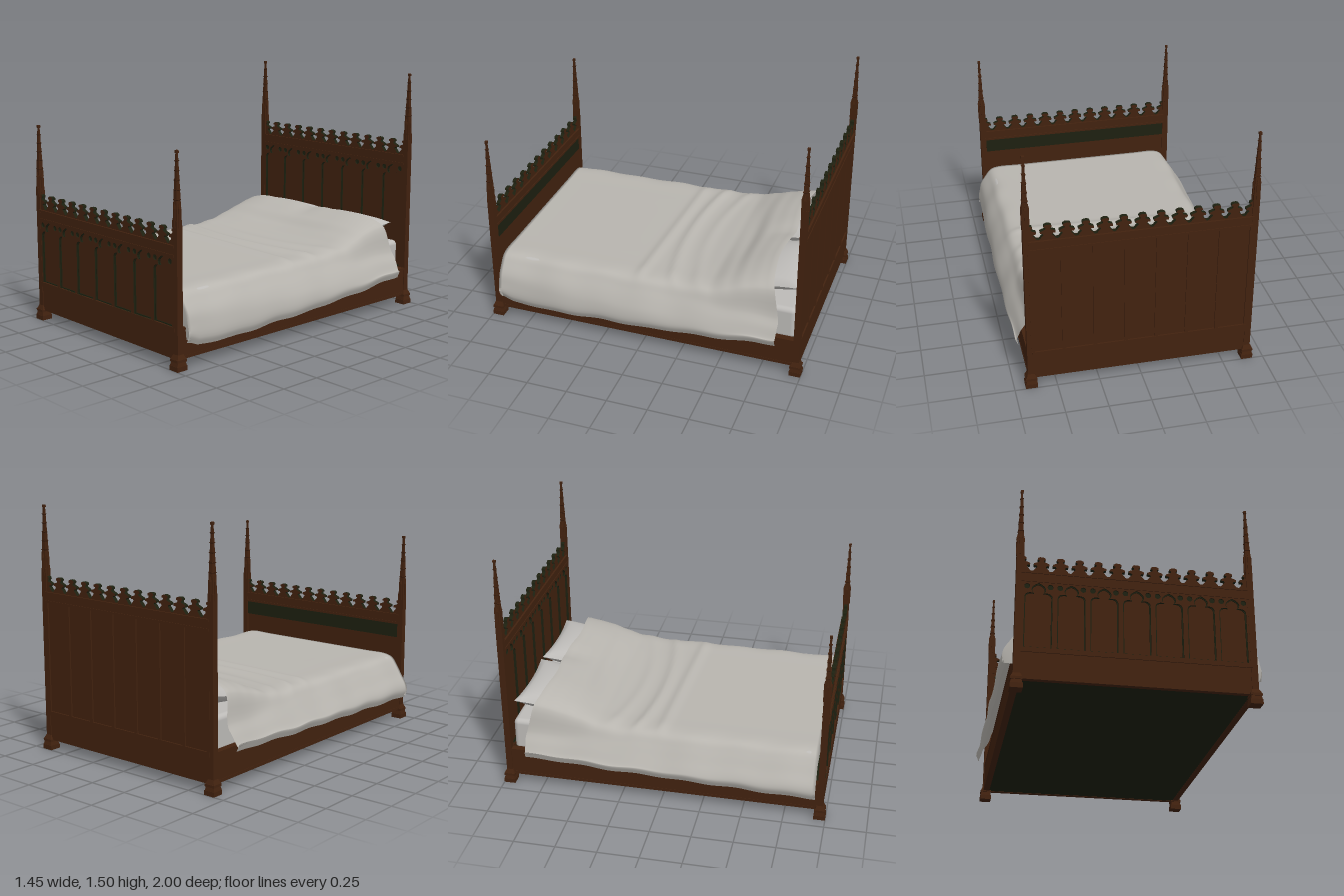
import * as THREE from 'three';
import { RoundedBoxGeometry } from 'three/addons/geometries/RoundedBoxGeometry.js';

const mat = (name, color, side = THREE.FrontSide) => {
  const m = new THREE.MeshStandardMaterial({ color, side });
  m.name = name;
  return m;
};
const wood = mat('dark oak', 0x42220f);
const shade = mat('green black stain', 0x1d2010);
const cover = mat('blanket grey', 0xb8b5af, THREE.DoubleSide);
const linen = mat('linen grey', 0xbdbbb8);

function add(parent, name, geo, material, x = 0, y = 0, z = 0) {
  const m = new THREE.Mesh(geo, material);
  m.name = name;
  m.position.set(x, y, z);
  parent.add(m);
  return m;
}
// Box given by its lower and upper y
const box = (parent, name, material, w, y0, y1, d, x = 0, z = 0) =>
  add(parent, name, new THREE.BoxGeometry(w, y1 - y0, d), material, x, (y0 + y1) / 2, z);
// Square tapered block
function taper(parent, name, w0, w1, y0, y1, x = 0, z = 0) {
  const g = new THREE.CylinderGeometry(w1 * Math.SQRT1_2, w0 * Math.SQRT1_2, y1 - y0, 4).toNonIndexed();
  g.rotateY(Math.PI / 4);
  g.computeVertexNormals();
  return add(parent, name, g, wood, x, (y0 + y1) / 2, z);
}
const extrude = (shape, depth) =>
  new THREE.ExtrudeGeometry(shape, { depth, bevelEnabled: false, curveSegments: 6 });

// Corner post with moulded foot and crocketed pinnacle
function makePost(h) {
  const g = new THREE.Group();
  const s = h - 0.4;
  box(g, 'foot', wood, 0.07, 0, 0.028, 0.07);
  taper(g, 'footNeck', 0.066, 0.056, 0.028, 0.05);
  box(g, 'footRing', wood, 0.066, 0.05, 0.065, 0.066);
  taper(g, 'footTop', 0.062, 0.04, 0.065, 0.09);
  box(g, 'shaft', wood, 0.038, 0.08, s + 0.02, 0.038);
  taper(g, 'pinnacleBase', 0.034, 0.03, s + 0.02, s + 0.12);
  for (const [dx, dz] of [[1, 0], [-1, 0], [0, 1], [0, -1]]) {
    const r = 0.017;
    box(g, 'buttress', wood, 0.012, s - 0.02, s + 0.085, 0.012, dx * r, dz * r);
    taper(g, 'buttressTip', 0.014, 0.001, s + 0.085, s + 0.115, dx * r, dz * r);
  }
  taper(g, 'spire', 0.029, 0.01, s + 0.11, h - 0.015);
  for (let i = 0; i < 5; i++) {
    const w = 0.034 - i * 0.0035, y = s + 0.125 + i * 0.053;
    taper(g, 'crocket', w * 0.65, w, y, y + 0.009);
  }
  box(g, 'finial', wood, 0.016, h - 0.015, h, 0.016);
  return g;
}

// Cusped arch opening, shrunk by e
function archPath(x, y0, y1, e) {
  const w = 0.077 - e, p = new THREE.Path();
  p.moveTo(x - w, y0 + e);
  p.lineTo(x + w, y0 + e);
  p.lineTo(x + w, y1 - 0.09);
  p.quadraticCurveTo(x + w - 0.006, y1 - 0.06, x + 0.031 - e, y1 - 0.066);
  p.bezierCurveTo(x + 0.05 - e, y1 - 0.045, x + 0.038 - e, y1 - 0.022, x, y1 - 0.005 - e);
  p.bezierCurveTo(x - 0.038 + e, y1 - 0.022, x - 0.05 + e, y1 - 0.045, x - 0.031 + e, y1 - 0.066);
  p.quadraticCurveTo(x - w + 0.006, y1 - 0.06, x - w, y1 - 0.09);
  p.closePath();
  return p;
}

// One bay of tracery; eyes are pierced in the spandrels
function bayShape(x, y0, y1, e, eyes) {
  const w = 0.0905, s = new THREE.Shape();
  s.moveTo(x - w, y0).lineTo(x + w, y0).lineTo(x + w, y1).lineTo(x - w, y1).closePath();
  s.holes.push(archPath(x, y0, y1, e));
  if (eyes) for (const d of [-1, 1]) {
    const eye = new THREE.Path();
    eye.absarc(x + d * 0.064, y1 - 0.027, 0.016, 0, Math.PI * 2, true);
    s.holes.push(eye);
  }
  return s;
}

// Half outline of one cresting flower
const FLOWER = [[0.053, 0], [0.053, 0.006], [0.044, 0.01], [0.033, 0.024], [0.023, 0.034], [0.029, 0.043],
  [0.042, 0.043], [0.043, 0.055], [0.029, 0.061], [0.015, 0.066], [0.012, 0.076], [0.022, 0.079],
  [0.021, 0.09], [0.009, 0.096]];

function makeCresting(y) {
  const g = new THREE.Group();
  g.name = 'cresting';
  const pts = d => FLOWER.map(([a, b]) => new THREE.Vector2(a * d, b));
  for (let i = -6; i <= 6; i++) {
    const outline = i === -6 ? [new THREE.Vector2(0, 0), ...pts(1), new THREE.Vector2(0, 0.096)]
      : i === 6 ? [new THREE.Vector2(0, 0), ...pts(-1), new THREE.Vector2(0, 0.096)]
        : [...pts(1), ...pts(-1).reverse()];
    add(g, 'crestFlower', extrude(new THREE.Shape(outline), 0.024), [wood, shade], i * 0.106, y, -0.012);
  }
  return g;
}

// End board: traceried front, top = underside of the top rail
function makeBoard(top, postHeight, ribbedBack) {
  const g = new THREE.Group();
  box(g, 'lowerPanel', wood, 1.28, 0.06, 0.22, 0.03);
  box(g, 'lowerRail', wood, 1.28, 0.215, 0.243, 0.042);
  box(g, 'panel', wood, 1.28, 0.24, top, 0.016, 0, -0.004);
  box(g, 'topRail', wood, 1.28, top + 0.008, top + 0.06, 0.036);
  box(g, 'topRailLowerMoulding', wood, 1.28, top, top + 0.014, 0.044);
  box(g, 'topRailUpperMoulding', wood, 1.28, top + 0.052, top + 0.066, 0.046);
  for (let i = -3; i <= 3; i++) {
    const x = i * 0.181;
    add(g, 'traceryRecess', extrude(bayShape(x, 0.243, top, 0.006, false), 0.006), shade, 0, 0, 0.004);
    add(g, 'tracery', extrude(bayShape(x, 0.243, top, 0, true), 0.008), [wood, shade], 0, 0, 0.01);
  }
  if (ribbedBack) {
    for (let i = -3; i <= 4; i++) box(g, 'backRib', wood, 0.022, 0.24, top, 0.012, (i - 0.5) * 0.181, -0.014);
  } else {
    box(g, 'backStain', shade, 1.26, top - 0.09, top, 0.004, 0, -0.013);
  }
  g.add(makeCresting(top + 0.064));
  for (const d of [-1, 1]) {
    const p = makePost(postHeight);
    p.name = d > 0 ? 'leftPost' : 'rightPost';
    p.position.x = d * 0.65;
    g.add(p);
  }
  return g;
}

// Piecewise linear lookup
function lookup(table, t) {
  for (let i = 1; i < table.length; i++) {
    const [a, p] = table[i - 1], [b, q] = table[i];
    if (t <= b) return p + (q - p) * THREE.MathUtils.smoothstep(t, a, b) * 0.4 + (q - p) * 0.6 * Math.max(0, (t - a) / (b - a));
  }
  return table[table.length - 1][1];
}

// Blanket: cross-sections swept from foot to head, with folds
function makeBlanket() {
  const rows = 90, cols = 72, pos = [], idx = [];
  const rise = [[-0.85, 0.14], [-0.76, 0.16], [-0.7, 0.145], [-0.6, 0.115], [-0.5, 0.075], [-0.4, 0.03], [-0.25, 0.012], [0.05, 0.008], [0.95, 0]];
  const hems = {
    1: [[-0.85, 0.215], [-0.7, 0.2], [-0.3, 0.165], [0, 0.145], [0.6, 0.12], [0.85, 0.125], [0.93, 0.155]],
    [-1]: [[-0.85, 0.225], [0, 0.19], [0.6, 0.17], [0.93, 0.16]],
  };
  const bump = (d, w) => Math.exp(-(d * d) / (w * w));
  for (let i = 0; i <= rows; i++) {
    const v = Math.max(0, (i - 1) / (rows - 1));
    const z = 0.935 - v * 1.705;
    for (const d of [-1, 1]) {
      const hem = lookup(hems[d], z);
      const t = 0.428 + lookup(rise, z), side = t - 0.3 * (t - 0.428);
      const out = d > 0 ? 0.718 - 0.015 * Math.max(0, z) : 0.728;
      const curve = new THREE.CatmullRomCurve3([[0, t], [0.22, t], [0.42, t], [0.56, side + (t - side) * 0.4], [0.61, side - 0.016],
        [0.645, 0.37], [0.682, 0.31], [out - 0.008, 0.25], [out, hem + 0.045], [out - 0.018, hem]]
        .map(([x, y]) => new THREE.Vector3(x, y, 0)), false, 'centripetal');
      const half = cols / 2;
      for (let j = 0; j <= half; j++) {
        const u = d < 0 ? 1 - j / half : j / half;
        if (d > 0 && j === 0) continue;
        const p = curve.getPoint(u), x = p.x * d;
        const flat = 1 - THREE.MathUtils.smoothstep(p.x, 0.5, 0.66);
        const drop = 1 - flat;
        // Cross folds on top, a dip between the pillows, ripples on the drop
        let y = p.y + flat * (0.016 * bump(z + 0.1 + 0.2 * x * x, 0.03) + 0.014 * bump(z - 0.01 - 0.05 * x, 0.03)
          + 0.01 * bump(z + 0.24 + 0.25 * x * x, 0.035) - 0.018 * bump(z + 0.5 + 0.05 * x, 0.05) * bump(x, 0.4)
          - 0.018 * bump(x, 0.07) * THREE.MathUtils.smoothstep(-z, 0.55, 0.75));
        const xx = x + d * drop * 0.006 * Math.sin(z * 13 + d) * (1 - u * 0.5);
        y += drop * 0.004 * Math.sin(z * 21 + 2 * d);
        let zz = z - drop * v * v * 0.07 * Math.min(1, (t + 0.1 - p.y) / 0.35) - 0.012 * v ** 8 * Math.cos(x * 11);
        if (i === 0) { y = Math.min(y, hem + 0.01); zz = 0.917; }
        pos.push(xx, y, zz);
      }
    }
  }
  const n = cols + 1;
  for (let i = 0; i < rows; i++) for (let j = 0; j < cols; j++) {
    const a = i * n + j, c = a + n;
    idx.push(a, a + 1, c, a + 1, c + 1, c);
  }
  const g = new THREE.BufferGeometry();
  g.setAttribute('position', new THREE.Float32BufferAttribute(pos, 3));
  g.setIndex(idx);
  g.computeVertexNormals();
  return g;
}

// Pillow: a box puffed in the middle and pinched to its corners
function makePillow() {
  const g = new THREE.BoxGeometry(2, 2, 2, 24, 1, 18), p = g.attributes.position;
  for (let i = 0; i < p.count; i++) {
    const u = p.getX(i), s = Math.sign(p.getY(i)), v = p.getZ(i);
    const h = Math.pow(Math.max(0, (1 - u * u) * (1 - v * v)), 0.42);
    p.setXYZ(i, u * 0.272 * (1 - 0.08 * (1 - v * v)), s * h * 0.068, v * 0.19 * (1 - 0.1 * (1 - u * u)));
  }
  g.computeVertexNormals();
  return g;
}

export function createModel() {
  const bed = new THREE.Group();
  bed.name = 'bed';

  const foot = makeBoard(0.635, 1.22, false);
  foot.name = 'footboard';
  foot.position.z = 0.965;
  const head = makeBoard(0.915, 1.5, true);
  head.name = 'headboard';
  head.position.z = -0.965;
  bed.add(foot, head);

  // Side rails and base
  for (const d of [-1, 1]) {
    box(bed, 'sideRail', wood, 0.03, 0.06, 0.235, 1.9, d * 0.648);
    box(bed, 'sideRailLedge', wood, 0.04, 0.225, 0.24, 1.9, d * 0.646);
    box(bed, 'sideRailFoot', wood, 0.038, 0.06, 0.078, 1.9, d * 0.646);
  }
  box(bed, 'bedBase', shade, 1.27, 0.062, 0.21, 1.92);

  // Bedding
  add(bed, 'mattress', new RoundedBoxGeometry(1.23, 0.21, 1.85, 3, 0.03), linen, 0, 0.315, -0.015);
  for (const d of [-1, 1]) {
    const p = add(bed, 'pillow', makePillow(), linen, d * 0.285 - 0.01, 0.493, -0.755);
    p.rotation.x = 0.17;
  }
  add(bed, 'blanket', makeBlanket(), cover);
  return bed;
}
